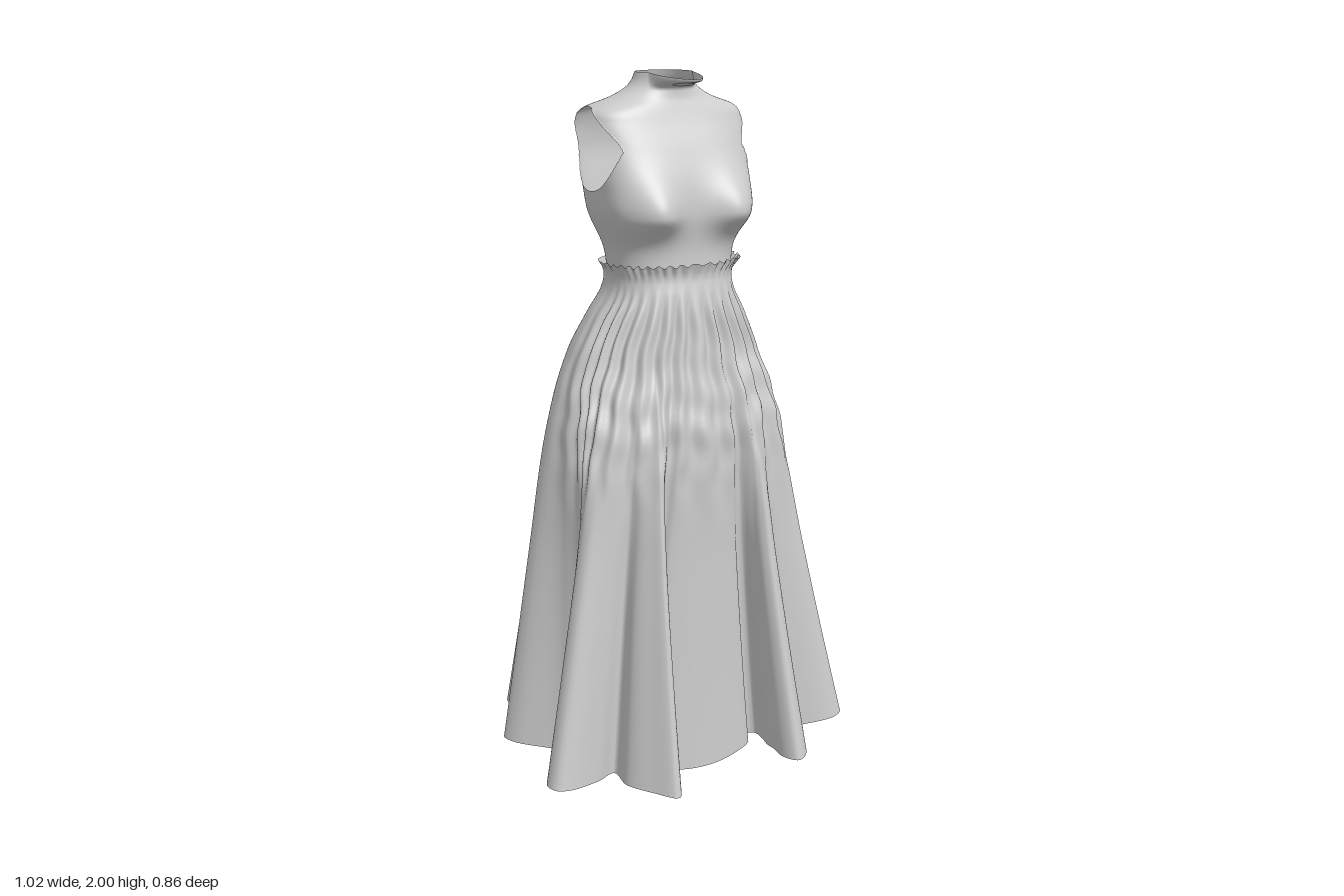
import * as THREE from 'three';

const fabric = new THREE.MeshStandardMaterial({ color: 0xcccccc, side: THREE.DoubleSide });
fabric.name = 'grey fabric';

// Smooth table lookup: rows of [y, halfWidth, front z, back z, centre x], y rising
function profile(rows) {
  const f = new THREE.CubicInterpolant(rows.map(r => r[0]), rows.flatMap(r => r.slice(1)), 4);
  return y => Array.from(f.evaluate(y));
}

// Point on a rounded-box cross-section; angle 0 is the front, growing towards +x
function section([hw, zf, zb, cx], a, eFront, eBack) {
  const s = Math.sin(a), c = Math.cos(a), e = c > 0 ? eFront : eBack;
  const mid = (zf + zb) / 2, half = (zf - zb) / 2;
  return [cx + hw * Math.sign(s) * Math.abs(s) ** e, mid + half * Math.sign(c) * Math.abs(c) ** e];
}

// Closed loft from point(i, j); keep(a, b, c) may drop triangles
function loft(name, cols, rows, point, keep = () => true) {
  const pos = [], idx = [];
  for (let j = 0; j <= rows; j++)
    for (let i = 0; i < cols; i++) pos.push(...point(i, j));
  const tri = (a, b, c) => { if (keep(a, b, c)) idx.push(a, b, c); };
  for (let j = 0; j < rows; j++)
    for (let i = 0; i < cols; i++) {
      const n = (i + 1) % cols, a = j * cols + i, b = j * cols + n;
      tri(a, b, b + cols);
      tri(a, b + cols, a + cols);
    }
  const g = new THREE.BufferGeometry();
  g.setAttribute('position', new THREE.Float32BufferAttribute(pos, 3));
  g.setIndex(idx);
  g.computeVertexNormals();
  const m = new THREE.Mesh(g, fabric);
  m.name = name;
  return m;
}

const gauss = (v, s) => Math.exp(-((v / s) ** 2));
const smooth = THREE.MathUtils.smoothstep;

// Hem outline (x, z), from the front centre round by +x
const hem = [
  [0, .245], [.1, .235], [.17, .21], [.19, .17], [.215, .18], [.2, .28], [.185, .37], [.21, .415], [.25, .395],
  [.3, .3], [.29, .2], [.34, .225], [.46, .25], [.505, .225], [.505, .18], [.45, .14], [.34, .11],
  [.32, .06], [.43, .05], [.48, .0], [.505, -.11], [.475, -.18], [.42, -.18], [.31, -.13],
  [.27, -.18], [.365, -.34], [.37, -.4], [.33, -.415], [.29, -.37], [.21, -.23], [.2, -.28],
  [.15, -.335], [.1, -.335], [.03, -.312], [-.02, -.315], [-.07, -.345], [-.11, -.35], [-.17, -.29],
  [-.18, -.235], [-.25, -.38], [-.28, -.43], [-.33, -.41], [-.33, -.36], [-.25, -.2], [-.28, -.14],
  [-.42, -.19], [-.465, -.16], [-.455, -.11], [-.35, .01], [-.32, .09], [-.46, .15],
  [-.505, .19], [-.5, .235], [-.46, .25], [-.36, .23], [-.29, .2], [-.3, .29], [-.26, .37],
  [-.215, .43], [-.185, .39], [-.2, .28], [-.215, .18], [-.19, .17], [-.17, .21], [-.1, .235],
];

function makeSkirt() {
  const N = 560, R = 84, top = 1.48;
  const outline = new THREE.CatmullRomCurve3(hem.map(([x, z]) => new THREE.Vector3(x, 0, z)), true)
    .getSpacedPoints(N).slice(0, N);
  // Unwrapped hem angles, averaged over one fold so the waist stays even
  const raw = [];
  outline.forEach((p, i) => {
    let a = Math.atan2(p.x, p.z);
    if (i) a += 2 * Math.PI * Math.round((raw[i - 1] - a) / (2 * Math.PI));
    raw.push(a);
  });
  const W = Math.round(N / 16);
  const angle = raw.map((_, i) => {
    let sum = 0;
    for (let k = i - W; k <= i + W; k++) sum += raw[(k + N) % N] + 2 * Math.PI * Math.floor(k / N);
    const a = sum / (2 * W + 1);
    // Front folds lean towards the centre as they rise
    return a - .27 * Math.sin(2 * a) * smooth(Math.cos(a), -.1, .3);
  });
  const body = profile([
    [0, .32, .2, -.25, 0], [.6, .32, .215, -.255, 0], [1, .315, .222, -.255, .005], [1.2, .278, .182, -.235, .01],
    [1.32, .225, .163, -.19, .012], [1.4, .188, .15, -.155, .015], [1.45, .188, .14, -.142, .018],
    [1.48, .208, .15, -.148, .02],
  ]);
  return loft('skirt', N, R, (i, j) => {
    const y = top * j / R, a = angle[i], h = outline[i];
    const p = section(body(y), a, .85, .78);
    const w = Math.max(0, (1.2 - y) / 1.2) ** 1.08;
    let x = p[0] + (h.x - p[0]) * w, z = p[1] + (h.z - p[1]) * w;
    // Gathered, wavering pleats over the front and sides, and the waist ruffle
    const front = smooth(Math.cos(a), -.25, .2);
    const pleat = smooth(y, .7, 1.02) * (1 - smooth(y, 1.3, 1.43));
    const waver = Math.sin(a * 5) + .35 * Math.sin(y * 38 + a * 3);
    const puff = gauss(y - 1.06, .12) * Math.sin((y - .98) * 52 + 1.5 * Math.sin(a * 7));
    const ruffle = smooth(y, 1.44, 1.47);
    const d = front * (pleat * .009 * Math.cos(a * 32 + waver) + .003 * puff
      + ruffle * .003 * Math.cos(a * 46));
    x += Math.sin(a) * d;
    z += Math.cos(a) * d;
    // Uneven hem and rim heights
    const low = .032 + .07 * h.x * h.x - .03 * gauss(h.x, .2) * smooth(h.z, .1, .2) * (1 - smooth(h.z, .25, .33));
    const yy = y + low * (1 - y / top) + front * ruffle * .004 * Math.cos(a * 37 + 1);
    return [x, Math.max(0, yy), z];
  });
}

function makeBodice() {
  const N = 240, R = 110, y0 = 1.45, cx = .02;
  const body = profile([
    [1.45, .182, .132, -.138, cx], [1.52, .192, .13, -.143, cx], [1.62, .228, .14, -.168, cx],
    [1.7, .234, .132, -.18, cx], [1.8, .238, .098, -.19, cx], [1.87, .242, .066, -.178, cx],
    [1.905, .222, .052, -.163, cx], [1.93, .155, .043, -.145, cx], [1.955, .11, .04, -.128, cx],
    [1.975, .092, .04, -.118, cx], [2, .082, .042, -.11, cx],
  ]);
  // Egg-shaped armhole in side view, leaning back and narrowing at the top
  const hole = { y: 1.795, ry: .115 };
  const holeZ = v => -.043 - .03 * Math.max(0, v);
  const holeR = v => .117 * (1 - .25 * Math.max(0, v));
  const inside = [];
  return loft('bodice', N, R, (i, j) => {
    let y = y0 + (2 - y0) * j / R;
    const a = 2 * Math.PI * i / N;
    // Oval at the waist, squarer at the chest and shoulder blades, round at the neck
    const chest = smooth(y, 1.48, 1.65), neck = smooth(y, 1.88, 1.97);
    let [x, z] = section(body(y), a, .85 - .25 * chest + .4 * neck,
      .85 - .15 * chest - .15 * smooth(y, 1.62, 1.8) + .45 * neck);
    const dx = x - cx;
    if (Math.cos(a) > 0) {
      // Bust and the forward lip of the collar
      const f = smooth(Math.cos(a), 0, .45);
      z += f * .054 * gauss(Math.abs(dx) - .13, .075) * gauss(y - 1.62, y > 1.62 ? .095 : .055);
      const lip = Math.sqrt(Math.max(0, 1 - (dx / .07) ** 2)) * f;
      z += .093 * lip * smooth(y, 1.955, 1.995);
      y -= .014 * lip * smooth(y, 1.96, 2);
    }
    // Points inside the armhole move to its edge
    const v = (y - hole.y) / hole.ry, u = (z - holeZ(v)) / holeR(v), r = Math.hypot(u, v);
    const cut = r < 1 && Math.abs(dx) > .1;
    inside.push(cut);
    if (cut && r > .3) {
      y = hole.y + hole.ry * v / r;
      z = holeZ(v / r) + holeR(v / r) * u / r;
    }
    return [x, y, z];
  }, (a, b, c) => !(inside[a] && inside[b] && inside[c]));
}

export function createModel() {
  const dress = new THREE.Group();
  dress.name = 'dress';
  dress.add(makeSkirt(), makeBodice());
  return dress;
}
